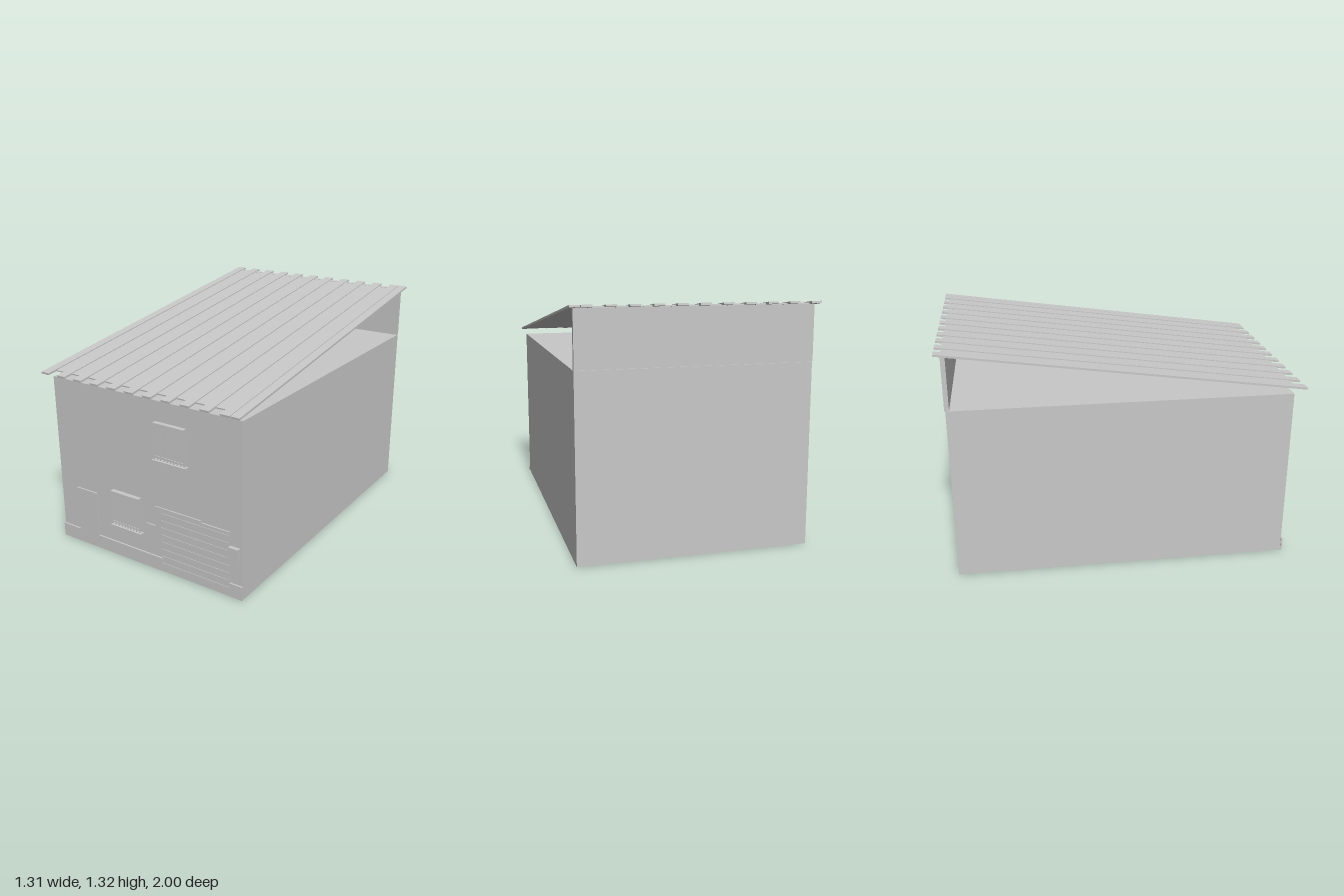
import * as THREE from 'three';

export function createModel() {
  const model = new THREE.Group();
  const grey = new THREE.MeshStandardMaterial({ color: 0xc8c8c8 });
  grey.name = 'plain grey';

  // Box given by its limits on each axis
  function box(parent, name, x0, x1, y0, y1, z0, z1) {
    const mesh = new THREE.Mesh(new THREE.BoxGeometry(x1 - x0, y1 - y0, z1 - z0), grey);
    mesh.position.set((x0 + x1) / 2, (y0 + y1) / 2, (z0 + z1) / 2);
    mesh.name = name;
    parent.add(mesh);
    return mesh;
  }

  // Flat relief panel standing on the front wall
  const front = 0.935;
  function relief(name, points, depth) {
    const shape = new THREE.Shape(points.map(([x, y]) => new THREE.Vector2(x, y)));
    const geometry = new THREE.ExtrudeGeometry(shape, { depth, bevelEnabled: false });
    const mesh = new THREE.Mesh(geometry, grey);
    mesh.position.z = front;
    mesh.name = name;
    model.add(mesh);
  }

  // Main block and the raised back wall under the high end of the roof
  box(model, 'houseBody', -0.632, 0.632, 0, 1, -0.96, front);
  box(model, 'upperBackWall', -0.632, 0.632, 1.002, 1.308, -0.965, -0.94);

  // Plinth with the front door, and the garage surround
  relief('plinthAndDoor', [[-0.635, 0], [0.11, 0], [0.11, 0.08], [-0.355, 0.08], [-0.355, 0.35],
    [-0.505, 0.35], [-0.505, 0.08], [-0.635, 0.08]], 0.01);
  relief('garageFront', [[0.11, 0], [0.555, 0], [0.555, 0.38], [0.375, 0.38], [0.375, 0.39],
    [0.07, 0.39], [0.07, 0.27], [0.005, 0.27], [0.005, 0.14], [0.11, 0.14]], 0.008);
  box(model, 'cornerPlinth', 0.555, 0.635, 0, 0.08, front, 0.945);
  box(model, 'meterBox', 0.555, 0.615, 0.225, 0.3, front, 0.957);

  // Garage door slats
  for (let i = 0; i < 8; i++) {
    const y = 0.018 + i * 0.044;
    box(model, 'garageSlat', 0.112, 0.553, y, y + 0.036, front, 0.946);
  }

  // Barred windows: pane, sill, rails and bars
  function barredWindow(x, y) {
    const g = new THREE.Group();
    g.name = 'barredWindow';
    g.position.set(x, y, front);
    box(g, 'pane', -0.097, 0.097, 0.01, 0.21, 0, 0.004);
    box(g, 'sill', -0.11, 0.11, 0, 0.011, 0, 0.03);
    box(g, 'topRail', -0.1, 0.1, 0.211, 0.221, 0, 0.027);
    box(g, 'lowerRail', -0.1, 0.1, 0.03, 0.035, 0.018, 0.024);
    for (let i = 0; i < 10; i++) {
      const bx = -0.097 + i * 0.194 / 9;
      box(g, 'bar', bx - 0.003, bx + 0.003, 0.014, 0.212, 0.018, 0.024);
    }
    model.add(g);
  }
  barredWindow(0.19, 0.665);
  barredWindow(-0.13, 0.188);

  // Sloping ribbed roof: thin sheet with raised ribs overhanging both ends
  const roof = new THREE.Group();
  roof.name = 'roof';
  roof.position.y = 1.174;
  roof.rotation.x = Math.atan(0.28 / 2);
  const half = 1.009, pitch = 0.1197;
  box(roof, 'roofSheet', -0.65, 0.65, -0.006, 0.001, -0.975, 0.95);
  for (let i = 0; i < 11; i++) {
    const x = -0.655 + i * pitch;
    box(roof, 'roofRib', x, x + 0.056, -0.005, 0.006, -half, half);
  }
  box(roof, 'edgeRib', 0.602, 0.655, -0.005, 0.006, -half, half);
  model.add(roof);

  return model;
}
